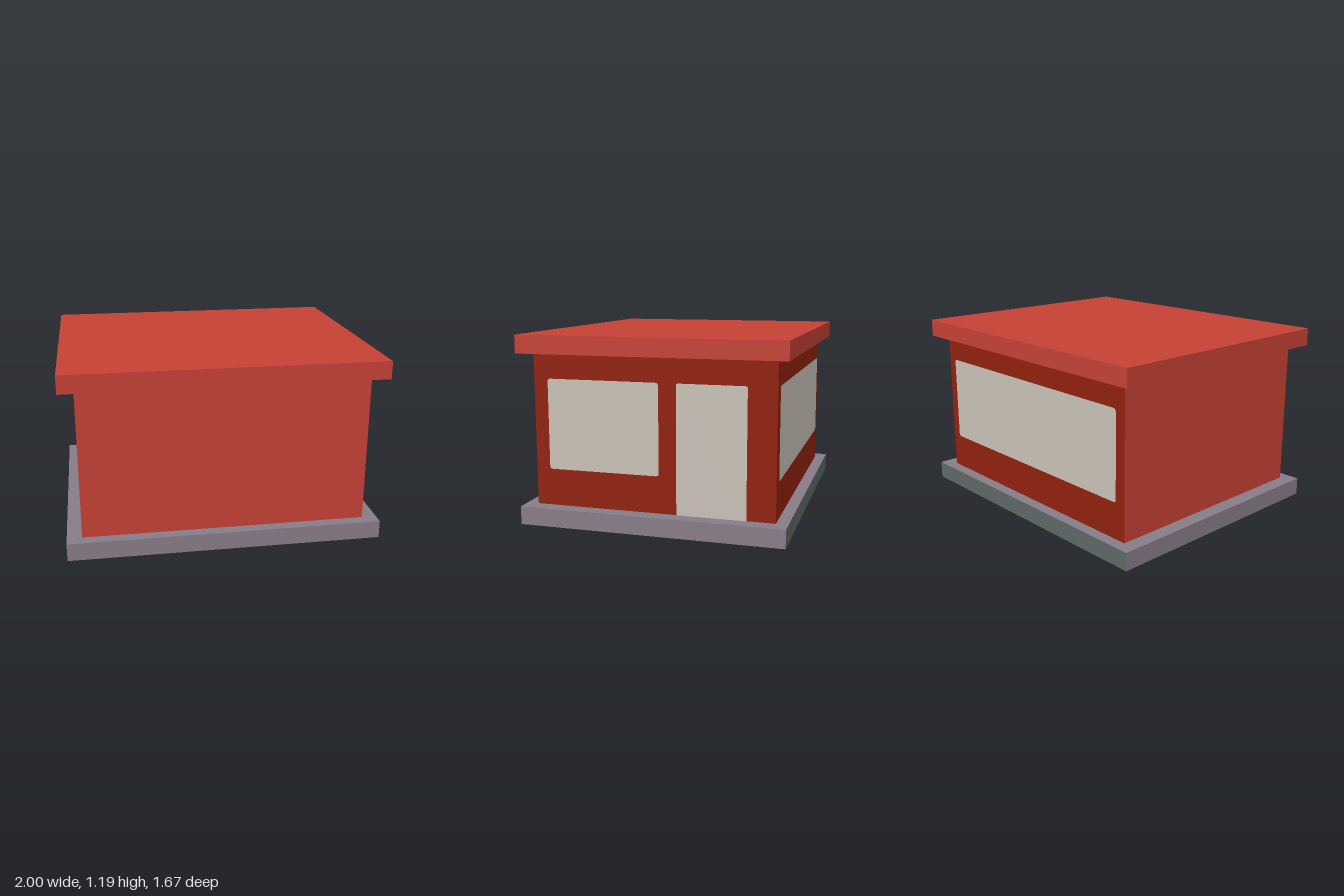
import * as THREE from 'three';

const material = (name, color) => {
  const m = new THREE.MeshStandardMaterial({ color });
  m.name = name;
  return m;
};

// Rounded pane as a flat face in the xy plane
function paneGeometry(x0, x1, y0, y1, r, squareBottom = false) {
  const b = squareBottom ? 0 : r;
  const s = new THREE.Shape();
  s.moveTo(x0 + b, y0);
  s.lineTo(x1 - b, y0);
  if (b) s.quadraticCurveTo(x1, y0, x1, y0 + b);
  s.lineTo(x1, y1 - r);
  s.quadraticCurveTo(x1, y1, x1 - r, y1);
  s.lineTo(x0 + r, y1);
  s.quadraticCurveTo(x0, y1, x0, y1 - r);
  s.lineTo(x0, y0 + b);
  if (b) s.quadraticCurveTo(x0, y0, x0 + b, y0);
  return new THREE.ShapeGeometry(s, 3);
}

export function createModel() {
  const group = new THREE.Group();
  const red = material('brightRed', 0xc54135);
  const darkRed = material('darkRed', 0x91210d);
  const stone = material('mauveStone', 0x877c88);
  const green = material('greyGreen', 0x5e6864);
  const glass = material('paleGlass', 0xcac1b7);
  stone.side = green.side = THREE.DoubleSide;

  const add = (name, geometry, mat) => {
    const mesh = new THREE.Mesh(geometry, mat);
    mesh.name = name;
    group.add(mesh);
    return mesh;
  };

  // Box between two heights; side order is +x, -x, top, bottom, +z, -z
  const slab = (w, d, y0, y1) =>
    new THREE.BoxGeometry(w, y1 - y0, d).translate(0, (y0 + y1) / 2, 0);

  // Plinth: a shell open underneath, with its back edge in another colour
  const plinth = slab(2, 1.67, 0, 0.115);
  plinth.groups = plinth.groups.filter((g) => g.materialIndex !== 3);
  add('plinth', plinth, [stone, stone, stone, stone, stone, green]);

  // Walls: the glazed right and back sides are darker
  add('walls', slab(1.81, 1.52, 0.02, 1.075), [darkRed, red, red, red, red, darkRed]);

  // Flat overhanging roof
  add('roof', slab(2, 1.67, 1.073, 1.187), red);

  // Panes on the +x wall (local x runs along -z)
  const onRight = (mesh) => {
    mesh.rotation.y = Math.PI / 2;
    mesh.position.x = 0.908;
  };
  onRight(add('sideWindow', paneGeometry(-0.67, 0.045, 0.347, 0.915, 0.018), glass));
  onRight(add('door', paneGeometry(0.155, 0.585, 0.02, 0.915, 0.012, true), glass));

  // Wide pane on the back wall
  const back = add('backWindow', paneGeometry(-0.835, 0.835, 0.347, 0.915, 0.018), glass);
  back.rotation.y = Math.PI;
  back.position.z = -0.763;

  return group;
}
